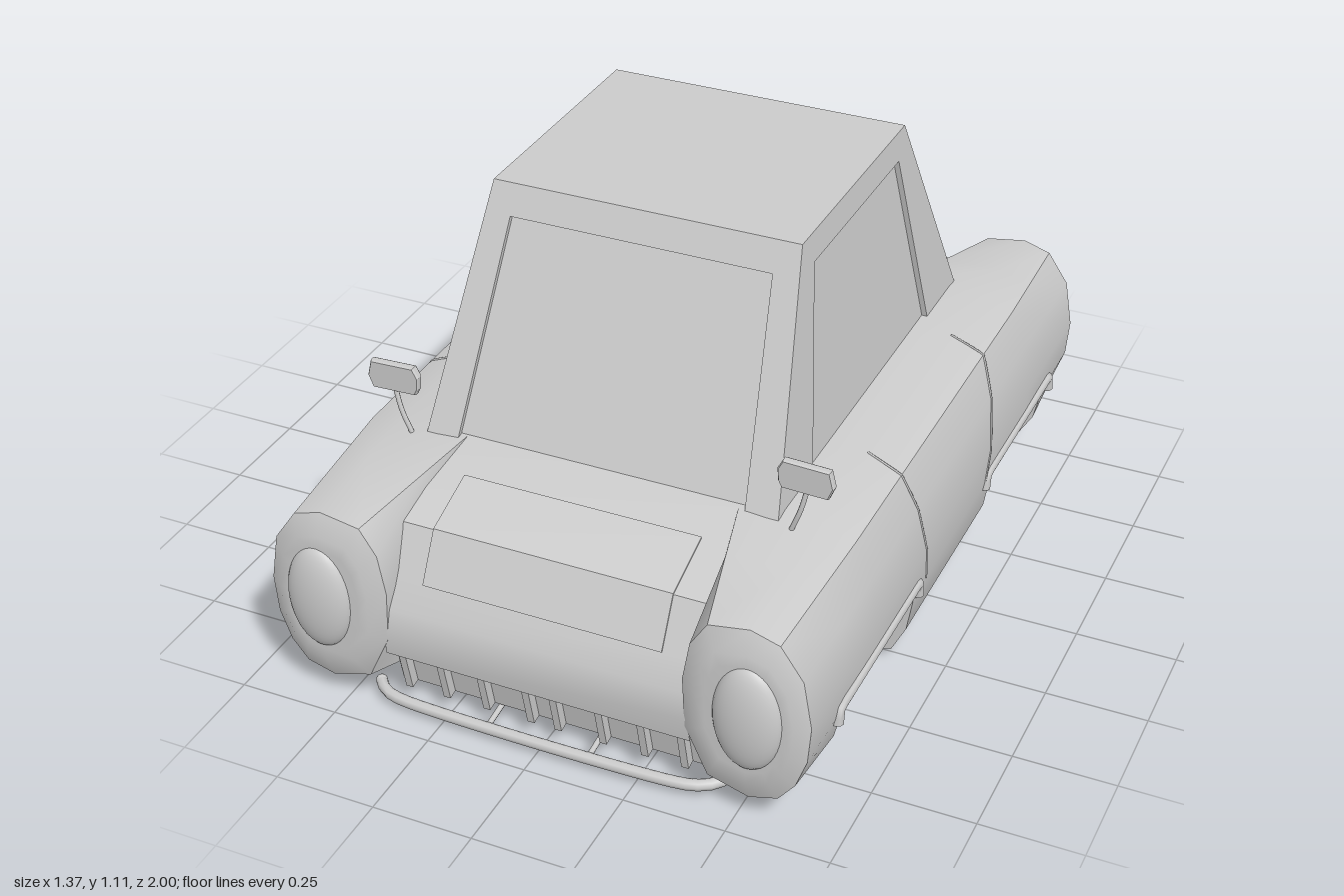
import * as THREE from 'three';
import { toCreasedNormals } from 'three/addons/utils/BufferGeometryUtils.js';

const material = new THREE.MeshStandardMaterial({ color: 0xcccccc, side: THREE.DoubleSide });
const V = (x, y, z) => new THREE.Vector3(x, y, z);

function add(parent, name, geometry) {
  const mesh = new THREE.Mesh(geometry, material);
  mesh.name = name;
  parent.add(mesh);
  return mesh;
}

// Geometry from a list of triangles, each three vectors
function fromTriangles(tris, crease) {
  const solid = tris.filter(([a, b, c]) => b.clone().sub(a).cross(c.clone().sub(a)).length() > 1e-9);
  const geometry = new THREE.BufferGeometry().setFromPoints(solid.flat());
  geometry.computeVertexNormals();
  return crease ? toCreasedNormals(geometry, crease) : geometry;
}

// Extrude a (z, y) profile across the width of the car
function acrossWidth(points, halfWidth, crease) {
  const shape = new THREE.Shape(points.map(([z, y]) => new THREE.Vector2(z, y)));
  const geometry = new THREE.ExtrudeGeometry(shape, { depth: halfWidth * 2, bevelEnabled: false });
  geometry.translate(0, 0, -halfWidth).rotateY(-Math.PI / 2);
  return toCreasedNormals(geometry, crease);
}

const tube = (points, radius, tension = 0.5, sides = 8) => new THREE.TubeGeometry(
  new THREE.CatmullRomCurve3(points, false, 'catmullrom', tension), 32, radius, sides);

// Side pod cross-sections (x, y): full middle, wheel well cut-out, and tapered end
const MIDDLE = [[0.34, 0.575], [0.53, 0.565], [0.62, 0.535], [0.66, 0.44], [0.677, 0.31], [0.672, 0.215],
  [0.655, 0.11], [0.62, 0.04], [0.52, 0.012], [0.34, 0.01], [0.35, 0.2], [0.35, 0.35], [0.345, 0.5]];
const WELL = MIDDLE.map((p, i) => ({ 6: [0.45, 0.215], 7: [0.45, 0.1], 8: [0.45, 0.012] })[i] || p);
const END = [[0.43, 0.515], [0.53, 0.532], [0.6, 0.51], [0.655, 0.43], [0.675, 0.31], [0.667, 0.215],
  [0.64, 0.14], [0.6, 0.09], [0.53, 0.07], [0.43, 0.1], [0.375, 0.22], [0.37, 0.35], [0.388, 0.45]];
const CENTRE = [0.535, 0.31];

function podRing(z, well) {
  const k = Math.min(1, Math.max(0, (Math.abs(z) - 0.55) / 0.39));
  const ring = MIDDLE.map((p, i) => {
    const x = p[0] + (END[i][0] - p[0]) * k, y = p[1] + (END[i][1] - p[1]) * k;
    if (!well || i < 6 || i > 8) return V(x, y, z);
    return V(WELL[i][0], Math.max(WELL[i][1], i === 8 ? y : 0), z);
  });
  return ring;
}

function podCap(z, scale) {
  return END.map(([x, y]) => V(CENTRE[0] + (x - CENTRE[0]) * scale, CENTRE[1] + (y - CENTRE[1]) * scale, z));
}

function podGeometry() {
  const rings = [
    podCap(0.966, 0.62), podCap(0.964, 0.76), podRing(0.94), podRing(0.73),
    podRing(0.73, true), podRing(0.55, true), podRing(0.28, true), podRing(0.28),
    podRing(-0.29), podRing(-0.29, true), podRing(-0.55, true), podRing(-0.72, true),
    podRing(-0.72), podRing(-0.93), podCap(-0.964, 0.76), podCap(-0.966, 0.62),
  ];
  const n = END.length, tris = [];
  for (let i = 0; i < rings.length - 1; i++) {
    for (let j = 0; j < n; j++) {
      const a = rings[i][j], b = rings[i][(j + 1) % n], c = rings[i + 1][(j + 1) % n], d = rings[i + 1][j];
      tris.push([a, b, c], [a, c, d]);
    }
  }
  const front = rings[0], back = rings[rings.length - 1];
  for (let j = 0; j < n; j++) {
    tris.push([V(...CENTRE, 0.966), front[(j + 1) % n], front[j]]);
    tris.push([V(...CENTRE, -0.966), back[j], back[(j + 1) % n]]);
  }
  return fromTriangles(tris, 0.6);
}

// One sloping cabin wall facing +z: pillars, header, reveal and inset glass
function cabinWall(a0, b0, a1, b1, w0, w1) {
  const y0 = 0.565, y1 = 1.12, yw = 1.05, inset = 0.014;
  const at = (s, y, d = 0) => V(s, y, b0 + (b1 - b0) * (y - y0) / (y1 - y0) - d);
  const tris = [];
  const quad = (a, b, c, d) => tris.push([a, b, c], [a, c, d]);
  quad(at(-a0, y0), at(-w0, y0), at(-w1, yw), at(-a1, y1));
  quad(at(w0, y0), at(a0, y0), at(a1, y1), at(w1, yw));
  quad(at(-w1, yw), at(w1, yw), at(a1, y1), at(-a1, y1));
  quad(at(-w0, y0), at(-w0, y0, inset), at(-w1, yw, inset), at(-w1, yw));
  quad(at(w0, y0, inset), at(w0, y0), at(w1, yw), at(w1, yw, inset));
  quad(at(-w1, yw), at(-w1, yw, inset), at(w1, yw, inset), at(w1, yw));
  quad(at(-w0, y0, inset), at(w0, y0, inset), at(w1, yw, inset), at(-w1, yw, inset));
  return fromTriangles(tris);
}

function buildSide() {
  const side = new THREE.Group();
  add(side, 'sidePod', podGeometry());

  for (const s of [1, -1]) {
    // Headlight in front, tail light behind
    const lamp = add(side, s > 0 ? 'headlight' : 'tailLight', new THREE.SphereGeometry(1, 32, 20));
    lamp.scale.set(0.083, 0.138, 0.04);
    lamp.position.set(...CENTRE, s * 0.96);
    // Lip over the wheel well
    const lip = [[0.765, 0.195], [0.762, 0.228], [0.745, 0.234], [0.27, 0.234], [0.248, 0.228], [0.244, 0.195]];
    add(side, 'wheelArchLip', tube(lip.map(([z, y]) => V(0.668, y, s * z)), 0.016, 0.1));
  }

  // Door seams following the pod surface
  for (const zs of [[0.25, 0.265, 0.25, 0.22, 0.2], [-0.33, -0.32, -0.28, -0.25, -0.235]]) {
    add(side, 'doorSeam', tube(zs.map((z, i) => V(...MIDDLE[i + 1], z)), 0.003, 0.1, 5));
  }

  // Wing mirror
  add(side, 'mirrorStem', tube([V(0.483, 0.56, 0.6), V(0.505, 0.62, 0.603), V(0.522, 0.69, 0.6)], 0.006));
  const outline = [[0.455, 0.69], [0.462, 0.675], [0.57, 0.671], [0.582, 0.7], [0.573, 0.738], [0.465, 0.742], [0.453, 0.72]];
  const head = new THREE.ExtrudeGeometry(new THREE.Shape(outline.map(p => new THREE.Vector2(...p))),
    { depth: 0.012, bevelThickness: 0.005, bevelSize: 0.003, bevelSegments: 1 });
  add(side, 'mirrorHead', head.translate(0, 0, 0.596));
  return side;
}

function buildBumper(s, z) {
  const bumper = new THREE.Group();
  bumper.name = s > 0 ? 'frontBumper' : 'rearBumper';
  const path = [[-0.44, -0.055], [-0.4, -0.02], [-0.3, -0.005], [0, 0], [0.3, -0.005], [0.4, -0.02], [0.44, -0.055]];
  const bar = add(bumper, 'bumperBar', tube(path.map(([x, d]) => V(x, 0, s * (z + d))), 0.014));
  bar.position.y = 0.037;
  for (const x of [-0.13, 0.13]) {
    add(bumper, 'bumperStrut', tube([V(x, 0.065, s * 0.78), V(x, 0.05, s * 0.85), V(x, 0.037, s * z)], 0.007));
    const end = add(bumper, 'bumperEnd', new THREE.SphereGeometry(0.0145, 12, 8));
    end.position.set(Math.sign(x) * 0.44, 0.037, s * (z - 0.055));
  }
  return bumper;
}

export function createModel() {
  const car = new THREE.Group();
  car.name = 'car';

  // Central body with bonnet, boot and flat floor
  add(car, 'centralBody', acrossWidth([[-0.6, 0.008], [0.6, 0.008], [0.84, 0.045], [0.87, 0.06], [0.895, 0.17],
    [0.935, 0.175], [0.942, 0.24], [0.93, 0.3], [0.89, 0.37], [0.83, 0.48], [0.57, 0.573], [-0.59, 0.573],
    [-0.83, 0.49], [-0.89, 0.38], [-0.92, 0.28], [-0.92, 0.18], [-0.88, 0.08], [-0.84, 0.045]], 0.385, 0.5));
  add(car, 'bonnetPanel', acrossWidth([[0.68, 0.538], [0.832, 0.484], [0.896, 0.367],
    [0.88, 0.36], [0.82, 0.46], [0.68, 0.51]], 0.3, 0.2));

  // Grille slats
  for (const x of [0.035, 0.15, 0.255, 0.355].flatMap(v => [v, -v])) {
    const slat = add(car, 'grilleSlat', new THREE.BoxGeometry(0.018, 0.115, 0.03));
    slat.position.set(x, 0.115, 0.892);
    slat.rotation.x = 0.22;
  }

  // Cabin
  const cabin = new THREE.Group();
  cabin.name = 'cabin';
  for (let i = 0; i < 4; i++) {
    const wall = i % 2
      ? cabinWall(0.59, 0.447, 0.325, 0.385, 0.385, 0.27)
      : cabinWall(0.447, 0.59, 0.385, 0.325, 0.365, 0.328);
    add(cabin, ['windscreen', 'leftWindow', 'rearWindow', 'rightWindow'][i] + 'Wall', wall).rotation.y = i * Math.PI / 2;
  }
  add(cabin, 'roof', new THREE.PlaneGeometry(0.77, 0.65).rotateX(-Math.PI / 2).translate(0, 1.12, 0));
  car.add(cabin);

  // Both sides, mirrored
  for (const s of [1, -1]) {
    const side = buildSide();
    side.name = s > 0 ? 'leftSide' : 'rightSide';
    side.scale.x = s;
    car.add(side);
  }

  car.add(buildBumper(1, 0.935), buildBumper(-1, 0.965));
  return car;
}
